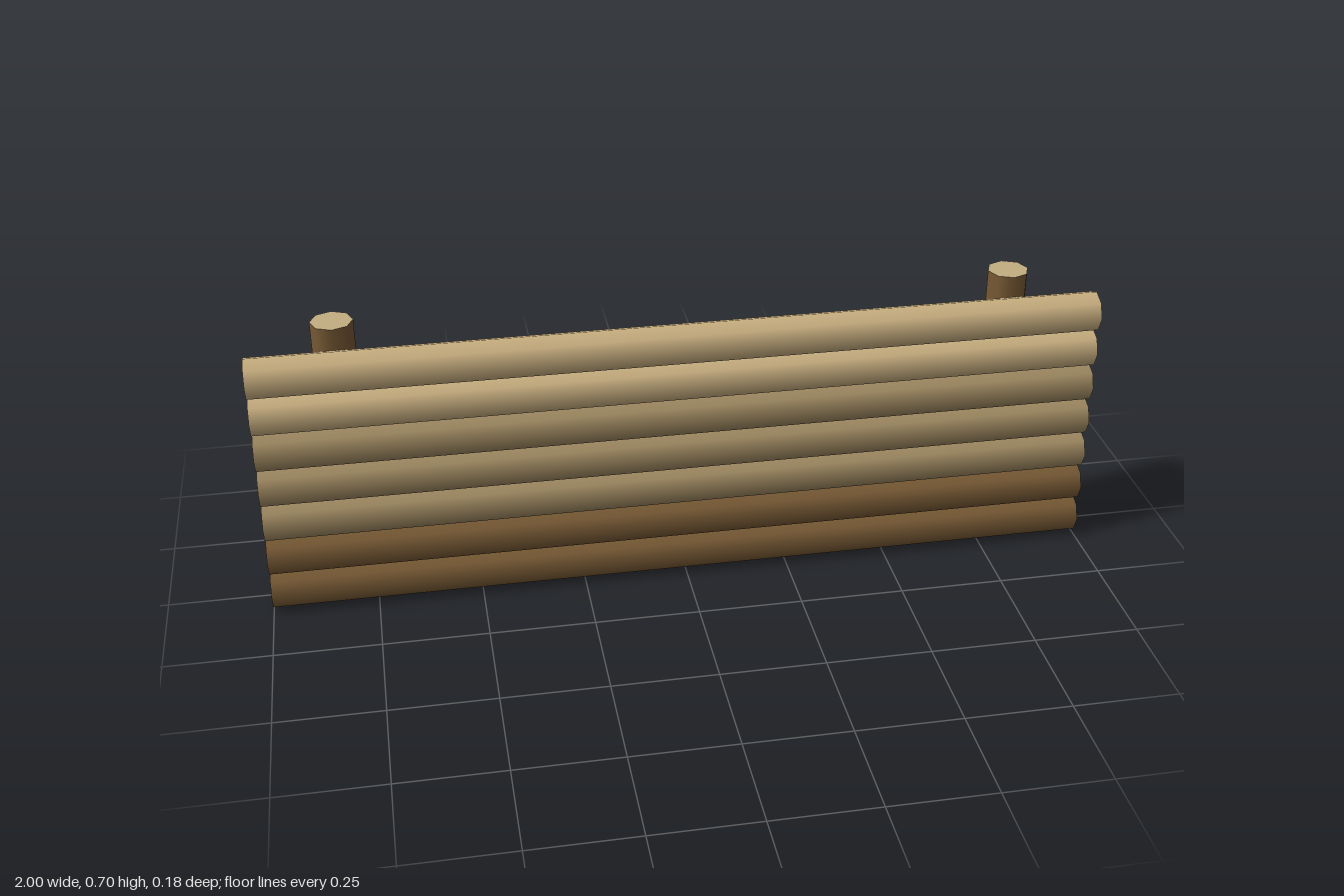
import * as THREE from 'three';

const mat = (name, color) => {
  const m = new THREE.MeshStandardMaterial({ color });
  m.name = name;
  return m;
};

export function createModel() {
  const lightWood = mat('light wood', 0xcab081);
  const midWood = mat('medium wood', 0xa08a62);
  const darkWood = mat('dark brown wood', 0x785a35);
  const cutWood = mat('cut end wood', 0xc4ae82);

  const group = new THREE.Group();
  group.name = 'logWall';
  const radius = 0.0495;

  // Stacked horizontal logs, darkest at the bottom
  const logGeometry = new THREE.CylinderGeometry(radius, radius, 2, 8).rotateZ(Math.PI / 2);
  const bark = [darkWood, darkWood, midWood, midWood, midWood, lightWood, lightWood];
  bark.forEach((side, i) => {
    const log = new THREE.Mesh(logGeometry, [side, cutWood, cutWood]);
    log.name = `log${i + 1}`;
    log.position.set(0, 0.051 + i * 0.0938, 0.0425);
    group.add(log);
  });

  // Two upright posts behind the logs
  const postGeometry = new THREE.CylinderGeometry(radius, radius, 0.7, 8);
  for (const [name, x] of [['leftPost', 0.804], ['rightPost', -0.8]]) {
    const post = new THREE.Mesh(postGeometry, [darkWood, cutWood, cutWood]);
    post.name = name;
    post.position.set(x, 0.35, -0.0425);
    group.add(post);
  }
  return group;
}
